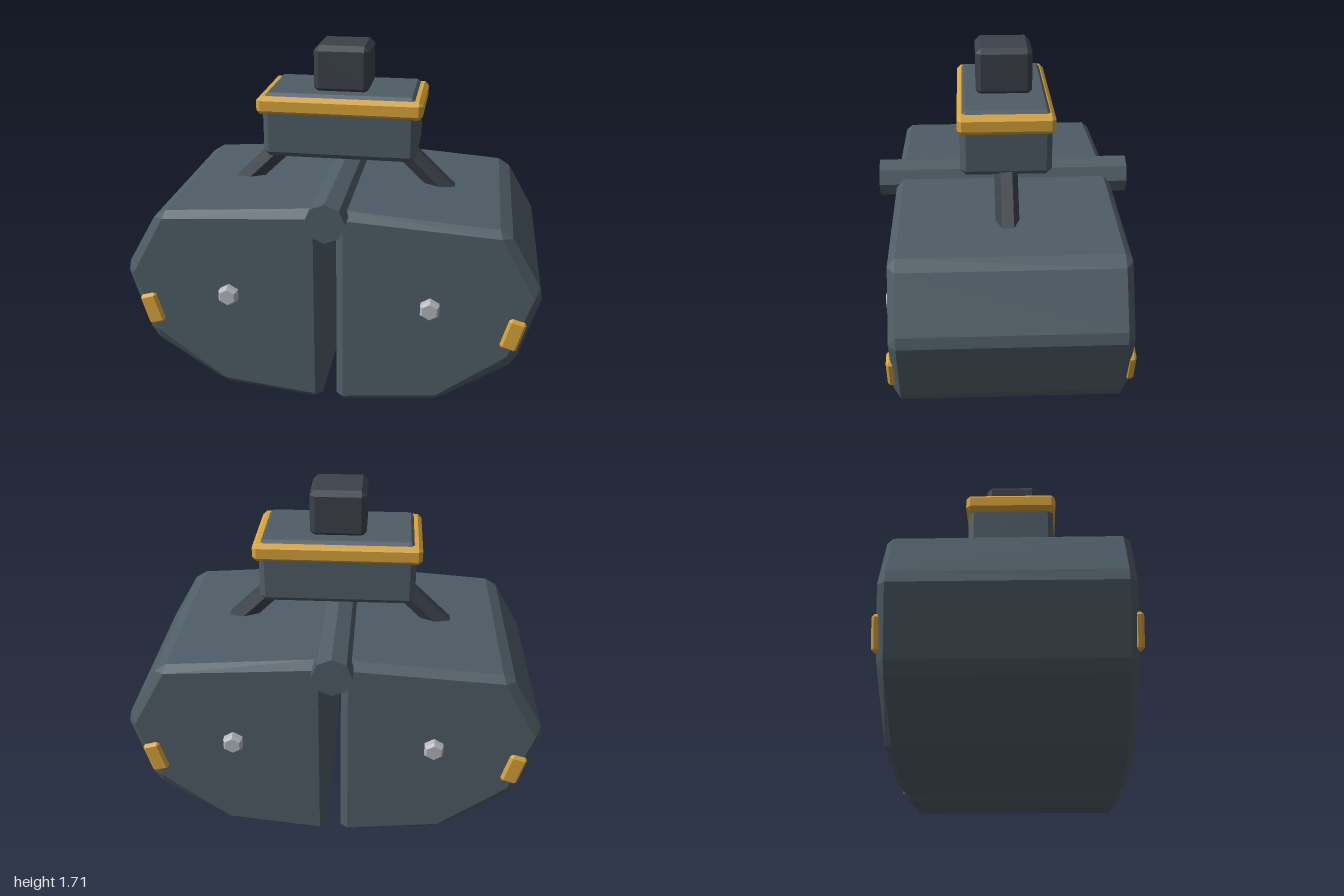
import * as THREE from 'three';
import { ConvexGeometry } from 'three/addons/geometries/ConvexGeometry.js';

const paint = (color) => new THREE.MeshStandardMaterial({ color, flatShading: true });
const steel = paint(0x4f5d66);
const dark = paint(0x3c424b);
const yellow = paint(0xd9a43a);
const metal = paint(0xb4b6bc);

function add(parent, name, geometry, material, x = 0, y = 0, z = 0) {
  const mesh = new THREE.Mesh(geometry, material);
  mesh.name = name;
  mesh.position.set(x, y, z);
  parent.add(mesh);
  return mesh;
}

// Box with every edge cut by a flat chamfer c
function chamferBox(w, h, d, c) {
  const points = [];
  for (const sx of [-1, 1]) for (const sy of [-1, 1]) for (const sz of [-1, 1]) {
    const [x, y, z] = [w / 2, h / 2, d / 2];
    points.push(
      new THREE.Vector3(sx * x, sy * (y - c), sz * (z - c)),
      new THREE.Vector3(sx * (x - c), sy * y, sz * (z - c)),
      new THREE.Vector3(sx * (x - c), sy * (y - c), sz * z));
  }
  return new ConvexGeometry(points);
}

// Clam half: end-face outline plus the wider outline with cut corners
const face = [[0.07, 0.04], [0.53, 0.09], [0.86, 0.34], [0.966, 0.65], [0.8, 0.945], [0.07, 0.99]];
const rim = [[0.035, 0.035], [0.07, 0.004], [0.52, 0.05], [0.58, 0.08], [0.875, 0.28], [0.91, 0.335],
  [1, 0.645], [0.99, 0.7], [0.85, 0.94], [0.79, 0.978], [0.07, 1.03], [0.035, 0.995]];

function shellGeometry(side) {
  const points = [];
  for (const s of [-1, 1]) {
    for (const [x, y] of face) points.push(new THREE.Vector3(side * x, y, s * 0.54));
    for (const [x, y] of rim) points.push(new THREE.Vector3(side * x, y, s * 0.505));
  }
  return new ConvexGeometry(points);
}

// Six-sided bolt head with a cut outer edge, pointing along +z
function boltGeometry() {
  const profile = [[0, -0.03], [0.052, -0.03], [0.052, 0.015], [0.04, 0.03], [0, 0.03]];
  const g = new THREE.LatheGeometry(profile.map(([x, y]) => new THREE.Vector2(x, y)), 6);
  return g.rotateX(Math.PI / 2);
}

export function createModel() {
  const model = new THREE.Group();
  model.name = 'clamshellGrab';

  // Two clam halves with their bolts, corner markers and arms
  for (const side of [1, -1]) {
    const half = new THREE.Group();
    half.name = side > 0 ? 'leftHalf' : 'rightHalf';
    model.add(half);
    add(half, 'shell', shellGeometry(side), steel);

    for (const end of [1, -1]) {
      const bolt = add(half, 'bolt', boltGeometry(), metal, side * 0.487, 0.572, end * 0.555);
      if (end < 0) bolt.rotation.y = Math.PI;
      const marker = add(half, 'marker', chamferBox(0.084, 0.16, 0.04, 0.012), yellow,
        side * 0.88, 0.462, end * 0.54);
      marker.rotation.z = -side * 0.28;
    }

    // Hexagonal strut from housing to shell
    const top = new THREE.Vector3(side * 0.24, 1.24, 0);
    const foot = new THREE.Vector3(side * 0.54, 0.95, 0);
    const strut = add(half, 'strut',
      new THREE.CylinderGeometry(0.056, 0.056, top.distanceTo(foot), 6), dark);
    strut.position.copy(top).add(foot).multiplyScalar(0.5);
    strut.rotation.z = Math.atan2(foot.x - top.x, top.y - foot.y);
  }

  // Octagonal hinge pin along z
  add(model, 'hingePin', new THREE.CylinderGeometry(0.096, 0.096, 1.25, 8).rotateX(Math.PI / 2),
    steel, 0, 1.005, 0);

  // Housing, its yellow band and the coupling on top
  add(model, 'housing', chamferBox(0.75, 0.32, 0.43, 0.027), steel, 0, 1.33, 0);
  add(model, 'band', chamferBox(0.806, 0.09, 0.455, 0.02), yellow, 0, 1.43, 0);
  add(model, 'coupling', chamferBox(0.27, 0.23, 0.27, 0.025), dark, 0, 1.595, 0);

  return model;
}
